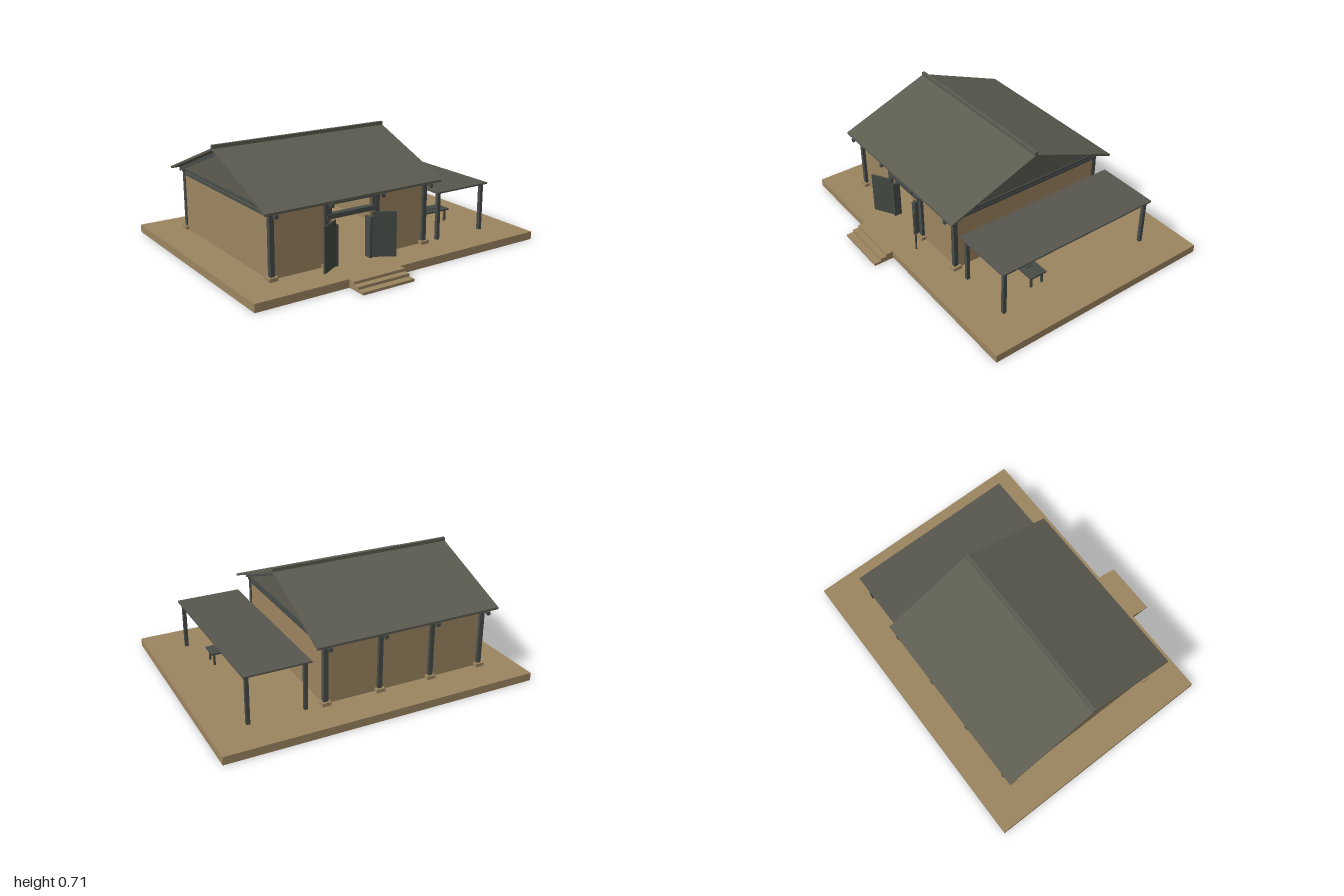
import * as THREE from 'three';

const mat = (name, color) => {
  const m = new THREE.MeshStandardMaterial({ color });
  m.name = name;
  return m;
};

export function createModel() {
  const root = new THREE.Group();
  root.name = 'courtyardHall';
  const earth = mat('earth', 0x9c8560);
  const tile = mat('roofTile', 0x5c5c51);
  const wood = mat('darkTimber', 0x474c48);
  const doorPaint = mat('doorPaint', 0x424842);
  const shedRoof = mat('shedRoof', 0x57574f);

  const add = (name, geo, material) => {
    const m = new THREE.Mesh(geo, material);
    m.name = name;
    root.add(m);
    return m;
  };
  // box given by its limits on each axis
  const box = (name, material, x0, x1, y0, y1, z0, z1) => {
    const m = add(name, new THREE.BoxGeometry(x1 - x0, y1 - y0, z1 - z0), material);
    m.position.set((x0 + x1) / 2, (y0 + y1) / 2, (z0 + z1) / 2);
    return m;
  };
  // (z, y) outline extruded from x0 to x1
  const prism = (name, material, pts, x0, x1) => {
    const shape = new THREE.Shape(pts.map(p => new THREE.Vector2(p[0], p[1])));
    const geo = new THREE.ExtrudeGeometry(shape, { depth: x1 - x0, bevelEnabled: false });
    geo.rotateY(-Math.PI / 2).translate(x1, 0, 0);
    return add(name, geo, material);
  };

  // platform and entrance steps
  box('platform', earth, -1, 1, 0, 0.05, -0.83, 0.7);
  [[0.05, 0.745], [0.033, 0.785], [0.016, 0.83]].forEach(([h, z], i, all) =>
    box('step', earth, -0.41, -0.06, 0, h, i ? all[i - 1][1] : 0.7, z));

  // columns on stone footings
  const colX = [-0.77, -0.415, -0.065, 0.29];
  const front = 0.475, back = -0.595, mid = -0.06;
  for (const x of colX) {
    for (const z of [front, back]) {
      const r = 0.014;
      box('column', wood, x - r, x + r, 0.05, 0.45, z - r, z + r);
      box('footing', earth, x - 0.028, x + 0.028, 0.05, 0.072, z - 0.028, z + 0.028);
    }
  }

  // earth walls, with a doorway and a transom opening in the front
  box('backWall', earth, -0.77, 0.29, 0.05, 0.43, back + 0.005, back + 0.02);
  for (const x of [-0.77, 0.29]) box('sideWall', earth, x - 0.008, x + 0.008, 0.05, 0.43, back, front);
  box('frontWallRight', earth, -0.77, -0.37, 0.05, 0.43, front - 0.02, front - 0.005);
  box('frontWallLeft', earth, -0.11, 0.29, 0.05, 0.43, front - 0.02, front - 0.005);

  // wall plates and tie beams
  for (const z of [front, back]) {
    box('wallPlate', wood, -0.79, 0.31, 0.428, 0.446, z - 0.012, z + 0.012);
  }
  for (const x of [-0.77, 0.29]) {
    box('upperTieBeam', wood, x - 0.013, x + 0.013, 0.43, 0.45, back - 0.015, front + 0.015);
    box('lowerTieBeam', wood, x - 0.011, x + 0.011, 0.408, 0.425, back, front);
  }

  // door frame
  box('doorLintel', wood, -0.415, -0.065, 0.335, 0.363, front - 0.02, front + 0.02);
  box('transomHead', wood, -0.4, -0.08, 0.415, 0.43, front - 0.012, front + 0.012);
  for (const s of [-1, 1]) {
    const cx = -0.24;
    const jx = cx + s * 0.12;
    box('doorJamb', wood, jx - 0.009, jx + 0.009, 0.05, 0.3, front - 0.02, front + 0.03);
    box('transomSide', wood, cx + s * 0.155 - 0.012, cx + s * 0.155 + 0.012, 0.363, 0.43, front - 0.012, front + 0.012);
    // leaf swung outwards
    const leaf = add('doorLeaf', new THREE.BoxGeometry(0.142, 0.275, 0.01), doorPaint);
    leaf.position.set(cx + s * 0.19, 0.1925, 0.537);
    leaf.rotation.y = -s * 0.54;
  }

  // gabled roof on rafters
  const chevron = (apex, thick, half) => {
    const drop = 0.39 * half;
    return [
      [mid - half, apex - drop - thick], [mid, apex - thick], [mid + half, apex - drop - thick],
      [mid + half, apex - drop], [mid, apex], [mid - half, apex - drop],
    ];
  };
  prism('roof', tile, chevron(0.692, 0.014, 0.603), -0.84, 0.37);
  for (const x of colX) prism('rafter', wood, chevron(0.677, 0.022, 0.607), x - 0.011, x + 0.011);
  box('ridgeCap', tile, -0.84, 0.37, 0.685, 0.71, mid - 0.01, mid + 0.01);
  const ridgePole = add('ridgePole', new THREE.CylinderGeometry(0.017, 0.017, 1.14, 12), wood);
  ridgePole.rotation.z = Math.PI / 2;
  ridgePole.position.set(-0.24, 0.66, mid);
  for (const x of [-0.77, 0.29]) {
    prism('gable', tile, [[mid - 0.54, 0.446], [mid + 0.54, 0.446], [mid, 0.66]], x - 0.006, x + 0.006);
  }

  // open side shed
  box('shedRoof', shedRoof, 0.38, 0.79, 0.352, 0.362, -0.62, 0.5);
  for (const z of [0.47, -0.59]) {
    box('shedBeam', wood, 0.395, 0.775, 0.344, 0.352, z - 0.01, z + 0.01);
    for (const x of [0.41, 0.762]) box('shedPost', wood, x - 0.011, x + 0.011, 0.05, 0.352, z - 0.011, z + 0.011);
  }
  for (const x of [0.41, 0.762]) box('shedSideBeam', wood, x - 0.01, x + 0.01, 0.344, 0.352, -0.6, 0.48);

  // table with small trays
  box('tableTop', wood, 0.46, 0.71, 0.125, 0.136, 0.12, 0.235);
  for (const x of [0.48, 0.69]) {
    for (const z of [0.138, 0.217]) box('tableLeg', wood, x - 0.006, x + 0.006, 0.05, 0.125, z - 0.006, z + 0.006);
  }
  for (const x of [0.53, 0.57, 0.61]) box('tray', doorPaint, x - 0.014, x + 0.014, 0.136, 0.142, 0.155, 0.2);

  return root;
}
